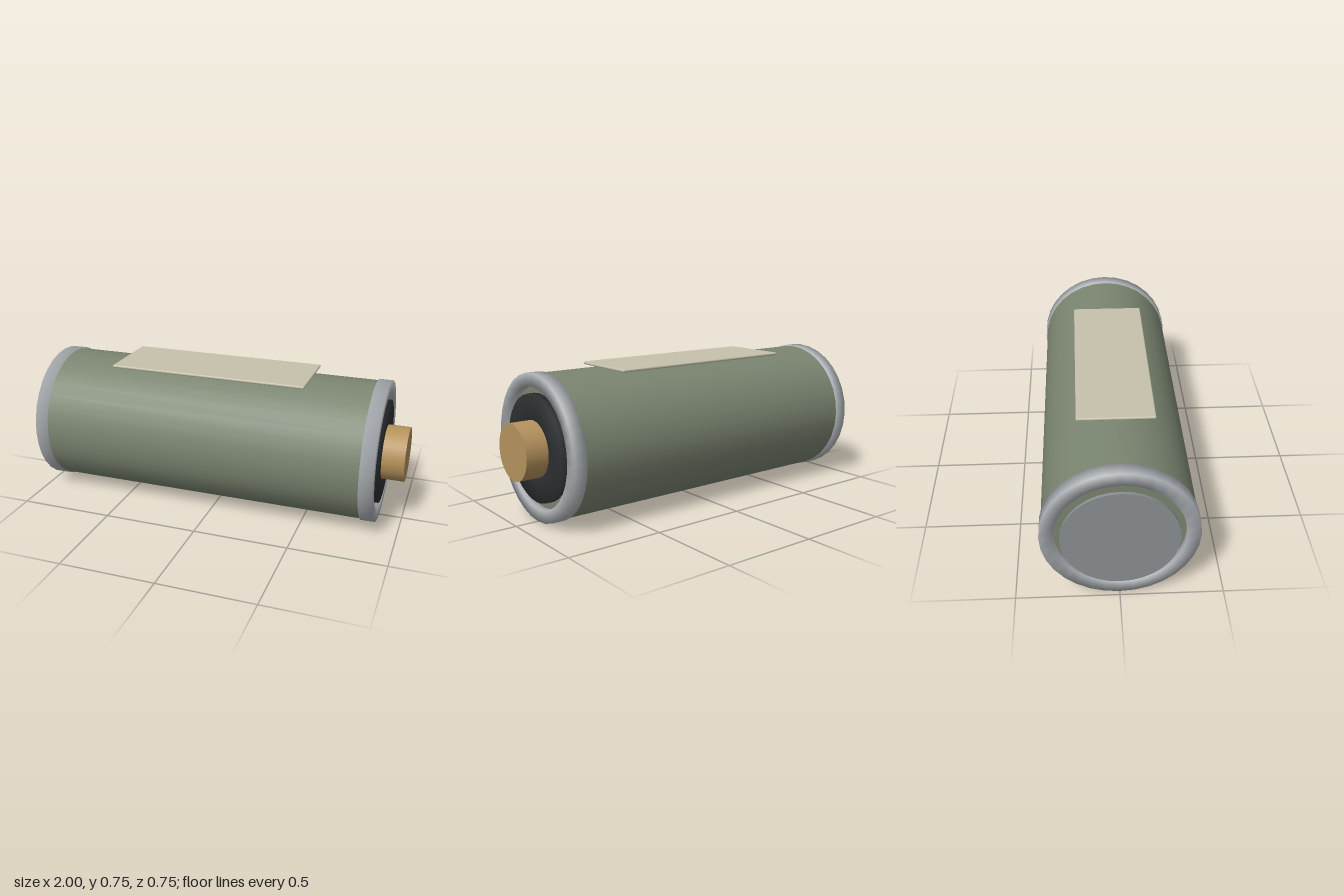
import * as THREE from 'three';
import { mergeVertices } from 'three/addons/utils/BufferGeometryUtils.js';
import { RoundedBoxGeometry } from 'three/addons/geometries/RoundedBoxGeometry.js';

const AXIS_Y = 0.375; // height of the cell's long axis
const SIDES = 32;

export function createModel() {
  const model = new THREE.Group();
  model.name = 'batteryCell';

  function add(name, geometry, color, y = AXIS_Y) {
    const mesh = new THREE.Mesh(geometry, new THREE.MeshStandardMaterial({ color }));
    mesh.name = name;
    mesh.position.y = y;
    model.add(mesh);
    return mesh;
  }

  // Solid disc or barrel lying along x
  function barrel(x0, x1, radius) {
    return new THREE.CylinderGeometry(radius, radius, x1 - x0, SIDES)
      .rotateZ(-Math.PI / 2)
      .translate((x0 + x1) / 2, 0, 0);
  }

  // Square-section ring along x, with normals blended over its edges
  function softRing(x0, x1, inner, outer) {
    const profile = [[inner, x0], [outer, x0], [outer, x1], [inner, x1], [inner, x0]]
      .map(([r, x]) => new THREE.Vector2(r, x));
    const lathe = new THREE.LatheGeometry(profile, SIDES).rotateZ(-Math.PI / 2);
    lathe.deleteAttribute('uv');
    lathe.deleteAttribute('normal');
    const ring = mergeVertices(lathe, 1e-4);
    ring.computeVertexNormals();
    return ring;
  }

  // Casing
  add('casing', barrel(-0.945, 0.845, 0.366), 0x7a8570);

  // Metal rims at both ends
  add('rightRim', softRing(-0.978, -0.908, 0.307, 0.373), 0xa9adb1);
  add('leftRim', softRing(0.81, 0.88, 0.307, 0.373), 0xa9adb1);

  // Positive end: insulating collar and brass button
  add('insulator', softRing(0.82, 0.884, 0.13, 0.272), 0x2c2e30);
  add('positiveTerminal', barrel(0.83, 1, 0.143), 0xb5925c);

  // Negative end plate
  add('negativeTerminal', barrel(-1, -0.985, 0.278), 0x8a8f92);

  // Blank label plate resting on the casing
  const label = add('labelPlate', new RoundedBoxGeometry(1.06, 0.015, 0.38, 3, 0.007), 0xc6c1ac, 0.741);
  label.position.x = -0.05;

  return model;
}
